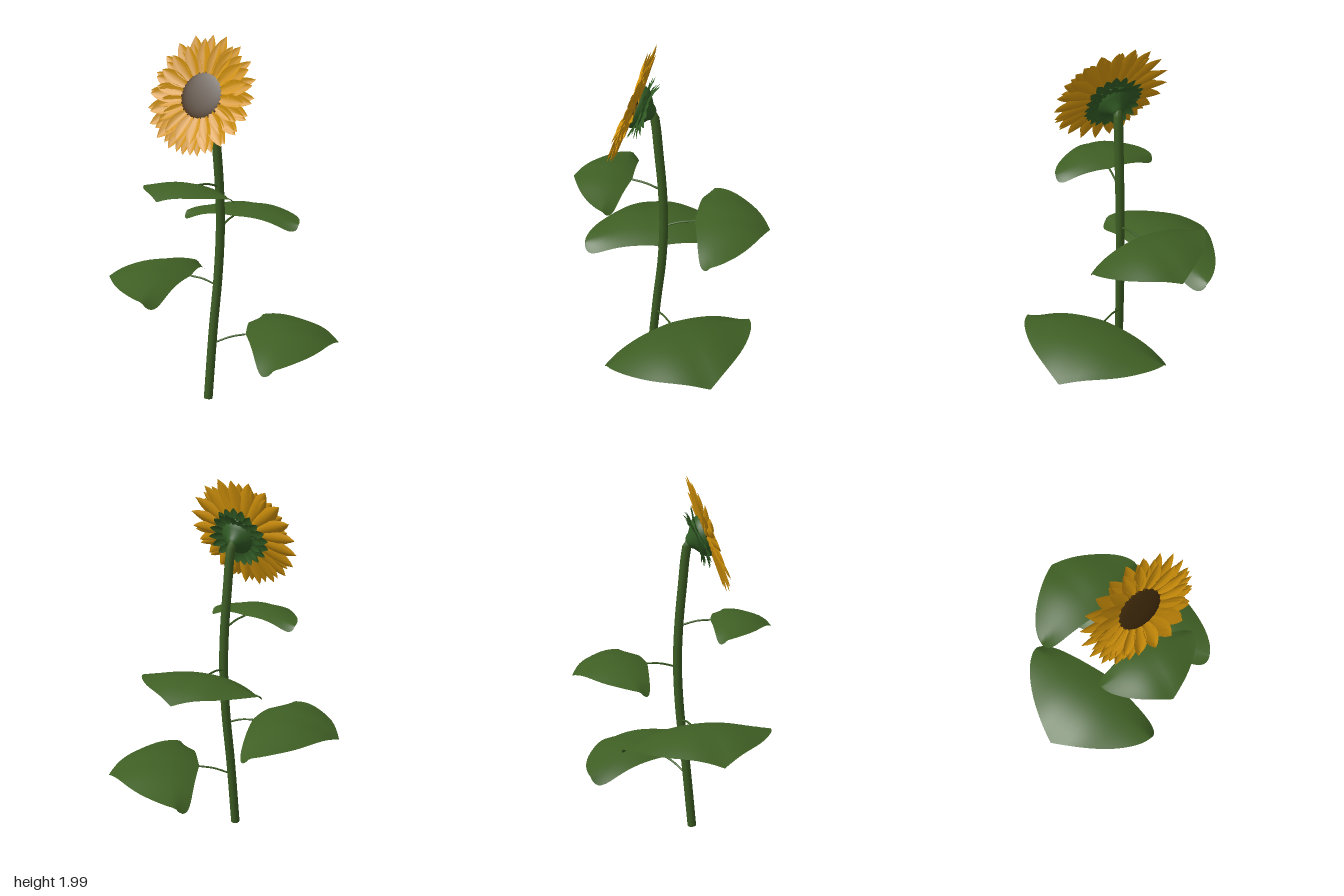
import * as THREE from 'three';

const mat = (name, color, side = THREE.DoubleSide) => {
  const m = new THREE.MeshStandardMaterial({ color, side });
  m.name = name;
  return m;
};

const V = (x, y, z) => new THREE.Vector3(x, y, z);

// Smooth surface from a rule: f(i, j) with both in 0..1 returns a point
function sheet(nu, nv, f) {
  const pos = [], idx = [];
  for (let i = 0; i <= nu; i++)
    for (let j = 0; j <= nv; j++) pos.push(...f(i / nu, j / nv));
  for (let i = 0; i < nu; i++)
    for (let j = 0; j < nv; j++) {
      const a = i * (nv + 1) + j, b = a + nv + 1;
      idx.push(a, b, a + 1, b, b + 1, a + 1);
    }
  const g = new THREE.BufferGeometry();
  g.setAttribute('position', new THREE.Float32BufferAttribute(pos, 3));
  g.setIndex(idx);
  g.computeVertexNormals();
  return g;
}

function add(parent, name, geometry, material) {
  const m = new THREE.Mesh(geometry, material);
  m.name = name;
  parent.add(m);
  return m;
}

// Broad heart-like blade growing along +z from its base, of length 1
function bladeGeometry() {
  return sheet(12, 32, (p, c) => {
    const q = Math.sin((c - 0.5) * Math.PI), a = Math.abs(q);
    const round = Math.sqrt(Math.max(0, 1 - q * q));
    const tip = 0.22 + 0.78 * (0.46 * (1 - a) + 0.54 * round);
    const base = 0.1 * a + 0.12 * (1 - Math.sqrt(Math.max(0, 1 - q ** 10)));
    const u = base + (tip - base) * p;
    // Arched midrib, drooping sides, shoulders folded down at the base
    const y = 0.405 * u - 0.505 * u * u - 0.15 * q * q
      - 0.8 * q ** 4 * Math.max(0, 0.24 - u) + 0.015 * Math.sin(a * 7) * p;
    return [q * 0.86, y, u];
  });
}

// Pointed petal lying in the xy plane and growing along +y
function petalGeometry(r0, r1, halfWidth, z0, z1, cup, curl) {
  return sheet(8, 4, (s, c) => {
    const t = c * 2 - 1;
    const w = halfWidth * Math.max(0, Math.sin(Math.PI * (0.13 + 0.87 * s))) ** 0.8;
    const z = z0 + (z1 - z0) * s + curl * s * s + cup * t * t * (w / halfWidth);
    return [-t * w, r0 + (r1 - r0) * s, z];
  });
}

export function createModel() {
  const root = new THREE.Group();
  root.name = 'sunflower';
  const stemGreen = mat('stem green', 0x3c5c23);
  const leafGreen = mat('leaf green', 0x3f5f24);
  const sepalGreen = mat('sepal green', 0x315a24);
  const gold = mat('petal gold', 0xd3930a);
  const brown = mat('seed brown', 0x432c0c);

  // Gently bowed stem, hooking forward into the flower head
  const stemCurve = new THREE.CatmullRomCurve3([
    V(0, 0, 0.117), V(0.01, 0.4, 0.08), V(0.021, 0.7, 0.048), V(0.027, 0.97, 0.035),
    V(0.025, 1.2, 0.042), V(0.019, 1.42, 0.06), V(0.013, 1.6, 0.077),
    V(0.009, 1.645, 0.088), V(0.007, 1.665, 0.12)]);
  const stem = new THREE.TubeGeometry(stemCurve, 60, 0.0245, 12);
  add(root, 'stem', stem, stemGreen);
  const foot = add(root, 'stemFoot', new THREE.CircleGeometry(0.0245, 12), stemGreen);
  foot.position.set(0, 0.003, 0.117);
  foot.rotation.x = Math.PI / 2;

  // Leaves: stem point, blade base, direction on the ground plane, length
  const blade = bladeGeometry();
  const leaves = [
    [V(0.01, 0.315, 0.085), V(0.157, 0.364, -0.02), [0.825, -0.565], 0.515],
    [V(0.02, 0.64, 0.053), V(-0.13, 0.68, 0.09), [-0.963, 0.25], 0.49],
    [V(0.027, 0.955, 0.035), V(0.003, 0.99, -0.132), [-0.1, -0.99], 0.408],
    [V(0.025, 1.19, 0.042), V(0.003, 1.227, 0.208), [-0.09, 0.99], 0.328],
  ];
  for (const [from, to, d, size] of leaves) {
    const leaf = new THREE.Group();
    leaf.name = 'leaf';
    root.add(leaf);
    const mid = from.clone().lerp(to, 0.55);
    mid.y += 0.009;
    const stalk = new THREE.CatmullRomCurve3([from, mid, to]);
    add(leaf, 'leafStalk', new THREE.TubeGeometry(stalk, 12, 0.0055, 8), stemGreen);
    const b = add(leaf, 'leafBlade', blade, leafGreen);
    b.position.copy(to);
    b.scale.setScalar(size);
    b.rotation.y = Math.atan2(d[0], d[1]);
  }

  // Flower head, tilted up
  const head = new THREE.Group();
  head.name = 'flowerHead';
  head.position.set(0.009, 1.69, 0.183);
  head.rotation.x = -0.36;
  root.add(head);

  // Seed disc with a low dome
  const disc = add(head, 'seedDisc', new THREE.SphereGeometry(0.127, 40, 16), brown);
  disc.scale.z = 0.11;

  // Green cup behind the disc
  const cup = new THREE.LatheGeometry([
    [0.02, -0.11], [0.034, -0.1], [0.045, -0.085], [0.072, -0.066],
    [0.1, -0.045], [0.112, -0.02], [0.112, -0.008]]
    .map(([r, y]) => new THREE.Vector2(r, y)), 32);
  cup.rotateX(Math.PI / 2);
  add(head, 'cup', cup, sepalGreen);

  // Rings: name, material, count, r0, r1, half width, z0, z1, cup, curl, phase
  const rings = [
    ['outerPetal', gold, 21, 0.112, 0.322, 0.041, -0.01, 0.002, 0.013, 0.0, 0],
    ['middlePetal', gold, 21, 0.114, 0.308, 0.039, -0.003, 0.016, 0.013, 0.0, 0.5],
    ['innerPetal', gold, 18, 0.116, 0.275, 0.033, 0.003, 0.03, 0.012, -0.004, 0.25],
    ['outerSepal', sepalGreen, 20, 0.085, 0.172, 0.026, -0.036, -0.018, -0.005, -0.016, 0],
    ['innerSepal', sepalGreen, 18, 0.075, 0.156, 0.025, -0.05, -0.042, -0.005, -0.026, 0.5],
  ];
  rings.forEach(([name, m, n, r0, r1, w, z0, z1, c, curl, phase], k) => {
    for (let i = 0; i < n; i++) {
      // Repeating small variations in reach, width and lean
      const a = Math.sin(i * 12.9 + k * 4.1), b = Math.sin(i * 7.3 + k * 2.7);
      const g = petalGeometry(r0, r1 * (1 + 0.035 * a), w * (1 + 0.12 * b),
        z0, z1 + 0.012 * b, c, curl);
      const p = add(head, name, g, m);
      p.rotation.z = ((i + phase) / n) * Math.PI * 2 + 0.05 * a;
    }
  });
  return root;
}
